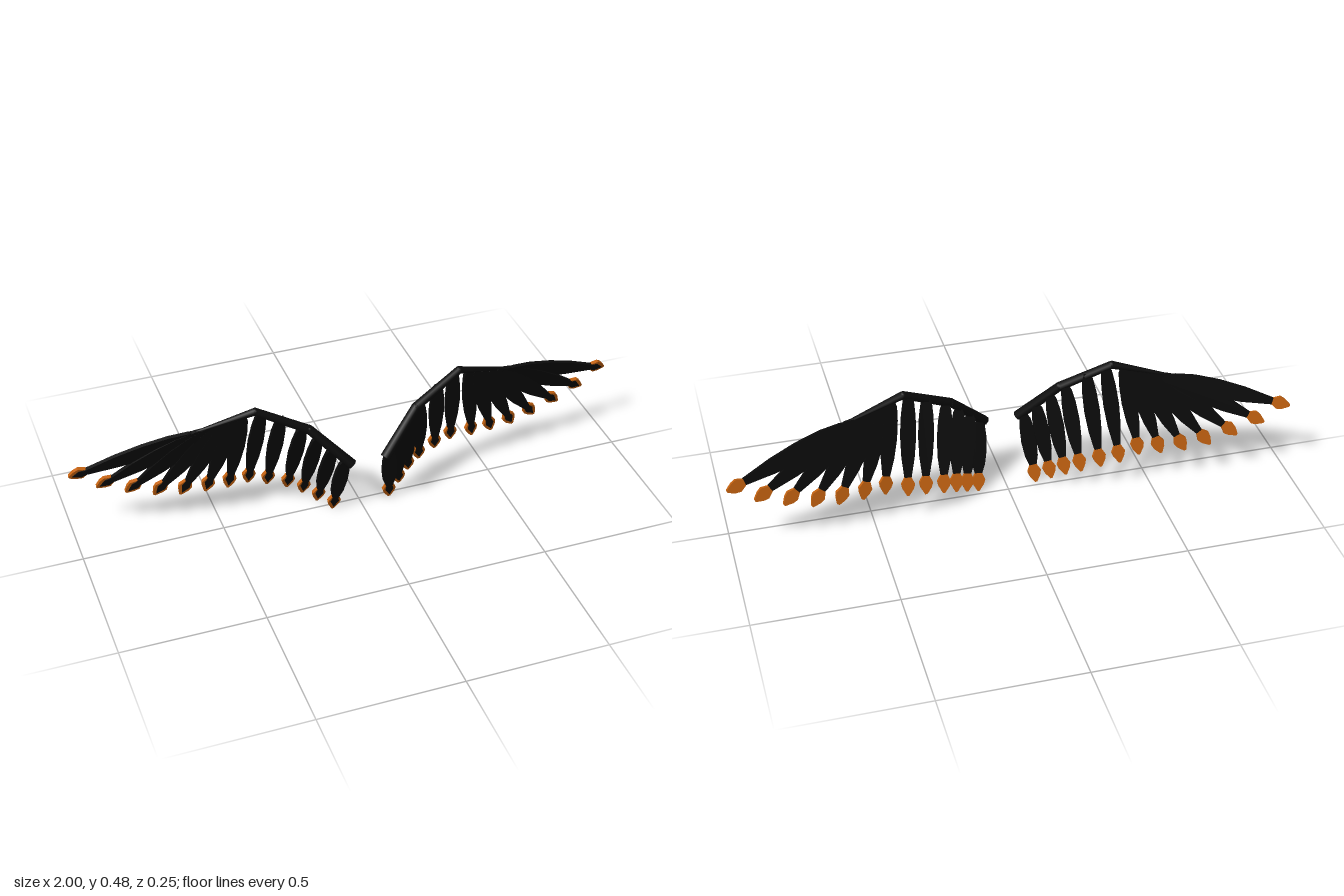
import * as THREE from 'three';

const black = new THREE.MeshStandardMaterial({ color: 0x0b0b0b });
black.name = 'black';
const orange = new THREE.MeshStandardMaterial({ color: 0xc46210 });
orange.name = 'orange';

const THICK = 0.013;

// Feathers of one wing, from the body outwards: [root, tip, half width]
const FEATHERS = [
  [[0.082, 0.25, 0.088], [0.107, 0.003, 0.022], 0.027],
  [[0.12, 0.30, 0.070], [0.155, 0.030, -0.007], 0.027],
  [[0.165, 0.345, 0.050], [0.20, 0.057, -0.035], 0.027],
  [[0.215, 0.385, 0.032], [0.25, 0.078, -0.058], 0.027],
  [[0.285, 0.435, 0.018], [0.317, 0.097, -0.074], 0.027],
  [[0.35, 0.462, 0.004], [0.383, 0.112, -0.087], 0.027],
  [[0.41, 0.452, -0.008], [0.46, 0.122, -0.070], 0.027],
  [[0.44, 0.442, -0.012], [0.54, 0.120, -0.078], 0.028],
  [[0.467, 0.434, -0.016], [0.627, 0.122, -0.087], 0.029],
  [[0.495, 0.426, -0.020], [0.717, 0.137, -0.096], 0.030],
  [[0.522, 0.418, -0.024], [0.813, 0.167, -0.104], 0.031],
  [[0.548, 0.41, -0.028], [0.91, 0.208, -0.111], 0.032],
  [[0.57, 0.402, -0.032], [1.0, 0.268, -0.118], 0.033],
];

// Arm joints from shoulder to fingertip: [position, radius]
const JOINTS = [
  [[0.06, 0.24, 0.104], 0.018],
  [[0.195, 0.38, 0.042], 0.016],
  [[0.37, 0.467, 0.0], 0.014],
  [[0.58, 0.408, -0.032], 0.005],
];

// Flat plate, symmetric about y, from [half width, y] points
function plate(points, depth, zCentre) {
  const outline = [
    ...points.map(([w, y]) => new THREE.Vector2(w, y)),
    ...points.slice().reverse().filter(([w]) => w > 0).map(([w, y]) => new THREE.Vector2(-w, y)),
  ];
  const geometry = new THREE.ExtrudeGeometry(new THREE.Shape(outline), { depth, bevelEnabled: false });
  return geometry.translate(0, 0, zCentre - depth / 2);
}

function part(name, geometry, material) {
  const mesh = new THREE.Mesh(geometry, material);
  mesh.name = name;
  return mesh;
}

function sidePoint([x, y, z], side) {
  return new THREE.Vector3(x * side, y, z);
}

function createFeather(root, tip, halfWidth, facing) {
  const along = tip.clone().sub(root);
  const length = along.length();
  along.normalize();
  const across = along.clone().cross(facing).normalize();
  const normal = across.clone().cross(along);

  // The vane ends in a point that lies over the front of the coloured tip
  const vane = plate([
    [0.010, 0], [0.018, 0.05 * length], [halfWidth * 0.9, 0.2 * length],
    [halfWidth, 0.4 * length], [halfWidth * 0.82, 0.62 * length],
    [0.011, length - 0.06], [0.015, length - 0.042], [0, length - 0.012],
  ], THICK, 0);
  const tipPlate = plate([
    [0.012, length - 0.066], [0.024, length - 0.042],
    [0.019, length - 0.024], [0.004, length],
  ], THICK, -0.003);

  const feather = new THREE.Group();
  feather.name = 'feather';
  feather.add(part('vane', vane, black), part('featherTip', tipPlate, orange));
  feather.quaternion.setFromRotationMatrix(new THREE.Matrix4().makeBasis(across, along, normal));
  feather.position.copy(root);
  return feather;
}

function createBone(a, b, radiusA, radiusB) {
  const span = b.clone().sub(a);
  const bone = part('armBone', new THREE.CylinderGeometry(radiusB, radiusA, span.length(), 8), black);
  bone.position.copy(a).lerp(b, 0.5);
  bone.quaternion.setFromUnitVectors(new THREE.Vector3(0, 1, 0), span.normalize());
  return bone;
}

function createWing(side) {
  const wing = new THREE.Group();
  wing.name = side > 0 ? 'leftWing' : 'rightWing';

  // Arm: three tapering bones with rounded joints between them
  for (let i = 0; i < JOINTS.length - 1; i++) {
    const [a, ra] = JOINTS[i];
    const [b, rb] = JOINTS[i + 1];
    wing.add(createBone(sidePoint(a, side), sidePoint(b, side), ra, rb));
    if (i > 0) {
      const joint = part('joint', new THREE.SphereGeometry(ra, 10, 8), black);
      joint.position.copy(sidePoint(a, side));
      wing.add(joint);
    }
  }

  // Inner feathers face forward, outer feathers turn slightly outward
  FEATHERS.forEach(([root, tip, halfWidth], i) => {
    const facing = new THREE.Vector3(i < 6 ? 0 : 0.13 * side, -0.25, 1);
    wing.add(createFeather(sidePoint(root, side), sidePoint(tip, side), halfWidth, facing));
  });
  return wing;
}

export function createModel() {
  const model = new THREE.Group();
  model.name = 'wings';
  model.add(createWing(1), createWing(-1));
  return model;
}
